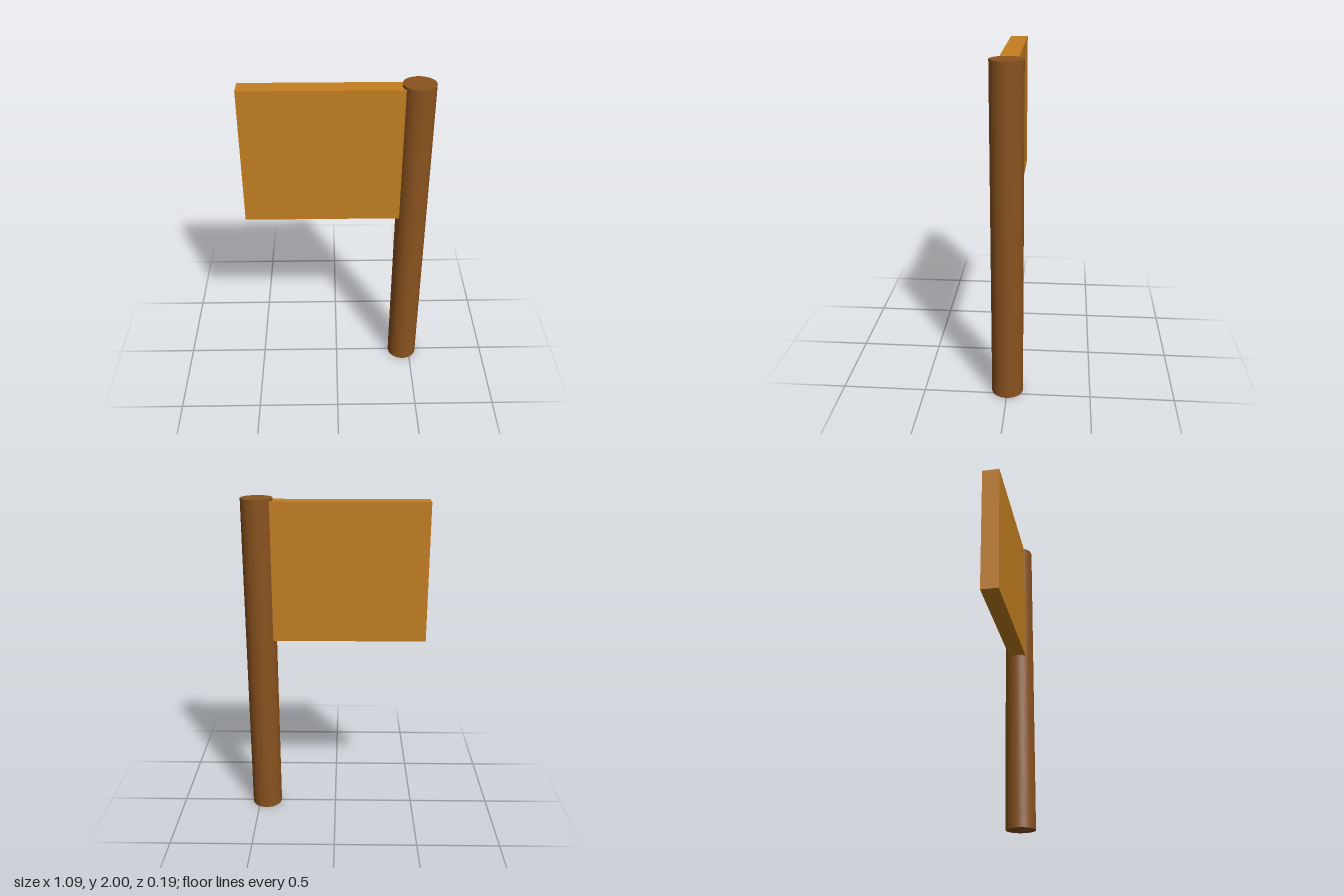
import * as THREE from 'three';

// Adds a named, coloured mesh to a group at a position
function addPart(group, name, geometry, color, x, y, z) {
  const mesh = new THREE.Mesh(geometry, new THREE.MeshStandardMaterial({ color }));
  mesh.name = name;
  mesh.position.set(x, y, z);
  group.add(mesh);
}

export function createModel() {
  const model = new THREE.Group();
  model.name = 'flagOnPole';

  const poleX = 0.453, poleRadius = 0.094, poleHeight = 2;
  const flagEnd = -0.547, flagBottom = 1.15, flagTop = 1.985, flagDepth = 0.108;

  // Round upright pole
  addPart(model, 'pole', new THREE.CylinderGeometry(poleRadius, poleRadius, poleHeight, 64),
    0x8a521e, poleX, poleHeight / 2, 0);

  // Thick rectangular flag, set into the pole as far as its axis
  addPart(model, 'flag', new THREE.BoxGeometry(poleX - flagEnd, flagTop - flagBottom, flagDepth),
    0xc47f20, (poleX + flagEnd) / 2, (flagTop + flagBottom) / 2, 0);

  return model;
}
